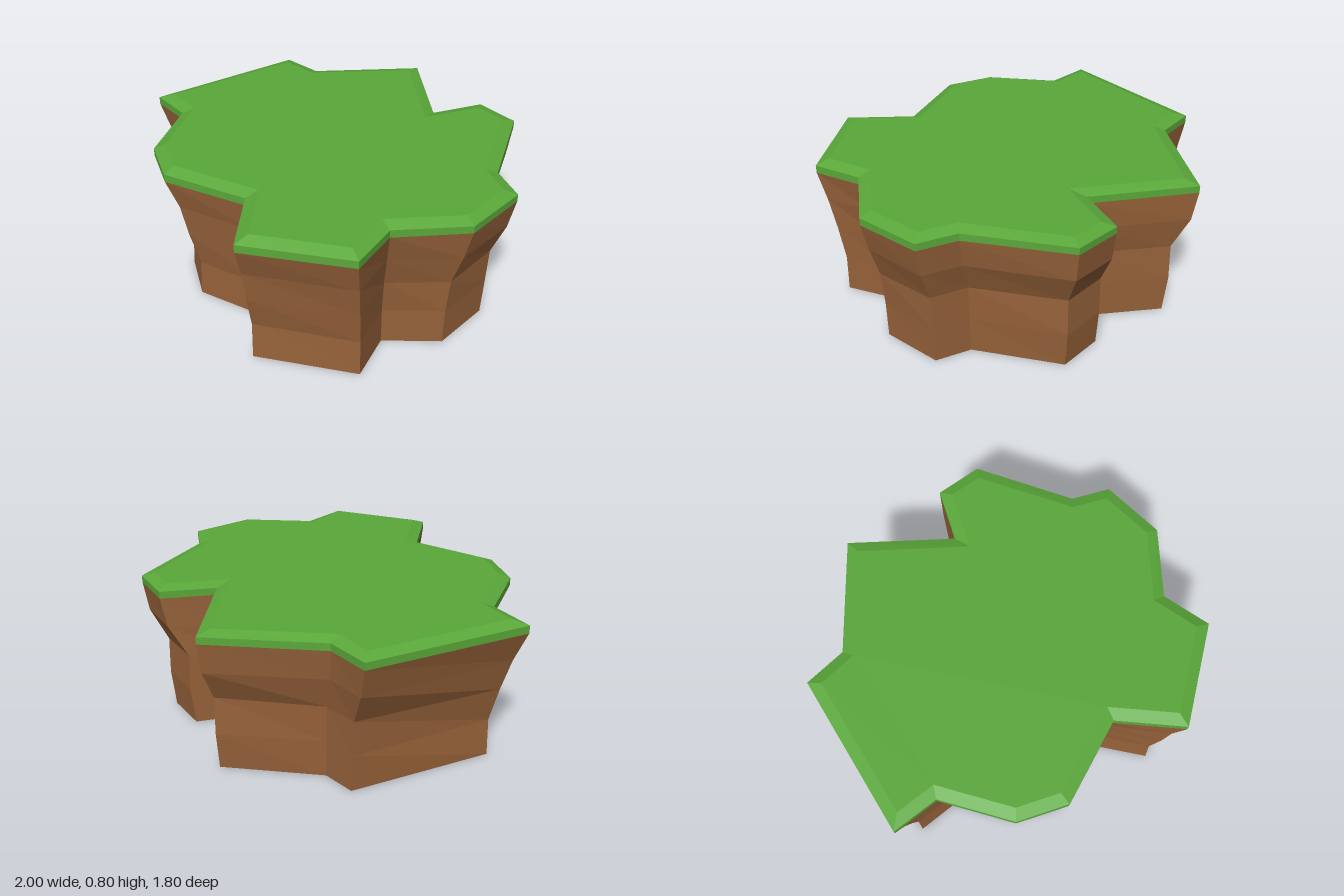
import * as THREE from 'three';

// Plateau outline, clockwise from above: rim x, rim z, foot x, foot z
const OUTLINE = [
  [-0.42, -0.90, -0.35, -0.80], [0.07, -0.61, 0.06, -0.54],
  [0.15, -0.89, 0.11, -0.76], [0.40, -0.905, 0.35, -0.79],
  [0.73, -0.465, 0.635, -0.40], [0.93, -0.405, 0.82, -0.35],
  [1.00, -0.06, 0.885, -0.03], [0.80, 0.27, 0.70, 0.22],
  [0.90, 0.52, 0.83, 0.45], [0.48, 0.90, 0.42, 0.81],
  [0.19, 0.67, 0.21, 0.60], [-0.23, 0.89, -0.17, 0.78],
  [-0.49, 0.82, -0.43, 0.69], [-0.75, 0.52, -0.65, 0.44],
  [-1.00, 0.54, -0.87, 0.46], [-0.98, -0.335, -0.83, -0.31],
  [-0.75, -0.38, -0.66, -0.36],
];
const N = OUTLINE.length;

// One ring of the cliff; blend 0 = foot, 1 = rim, with separate back and front values
function ring(y, back, front, tilt = 0) {
  return OUTLINE.map(([rx, rz, fx, fz]) => {
    const t = THREE.MathUtils.lerp(back, front, (rz + 0.9) / 1.8);
    return new THREE.Vector3(
      THREE.MathUtils.lerp(fx, rx, t), y - tilt * rz, THREE.MathUtils.lerp(fz, rz, t));
  });
}

// Shrink a ring by moving every edge inward by the same distance
function inset(points, distance, y, tilt) {
  const normal = (a, b) => new THREE.Vector2(a.z - b.z, b.x - a.x).normalize();
  return points.map((p, i) => {
    const n1 = normal(points[(i + N - 1) % N], p);
    const n2 = normal(p, points[(i + 1) % N]);
    const m = distance / Math.max(0.6, 1 + n1.dot(n2));
    return new THREE.Vector3(p.x + (n1.x + n2.x) * m, y - tilt * p.z, p.z + (n1.y + n2.y) * m);
  });
}

// Join rings from bottom to top with flat facets, with optional end caps
function loft(rings, capBottom, capTop) {
  const pos = [];
  const tri = (a, b, c) => [a, b, c].forEach((v) => pos.push(v.x, v.y, v.z));
  for (let r = 0; r < rings.length - 1; r++) {
    const lo = rings[r], up = rings[r + 1];
    for (let i = 0; i < N; i++) {
      const j = (i + 1) % N;
      tri(lo[i], up[i], up[j]);
      tri(lo[i], up[j], lo[j]);
    }
  }
  const cap = (pts, faceUp) => {
    const flat = pts.map((p) => new THREE.Vector2(p.x, p.z));
    for (const f of THREE.ShapeUtils.triangulateShape(flat, [])) {
      const isUp = THREE.ShapeUtils.area(f.map((k) => flat[k])) < 0;
      const [a, b, c] = f.map((k) => pts[k]);
      if (isUp === faceUp) tri(a, b, c);
      else tri(a, c, b);
    }
  };
  if (capBottom) cap(rings[0], false);
  if (capTop) cap(rings[rings.length - 1], true);
  const geometry = new THREE.BufferGeometry();
  geometry.setAttribute('position', new THREE.Float32BufferAttribute(pos, 3));
  geometry.computeVertexNormals();
  return geometry;
}

function part(name, geometry, color) {
  const mesh = new THREE.Mesh(geometry, new THREE.MeshStandardMaterial({ color, flatShading: true }));
  mesh.name = name;
  return mesh;
}

export function createModel() {
  const group = new THREE.Group();
  group.name = 'grassyPlateau';

  // Earth cliff: upright lower half, flaring out to the rim
  const rim = ring(0.735, 1, 1, 0.011);
  group.add(part('earthCliff', loft([
    ring(0, 0, 0),
    ring(0.205, 0.15, -0.1),
    ring(0.4, 0.1, 0.28, 0.01),
    ring(0.575, 0.8, 0.52, 0.01),
    rim,
  ], true, false), 0x96623a));

  // Grass slab: short wall, bevel and nearly flat top
  const edge = ring(0.775, 1, 1, 0.008);
  group.add(part('grassTop', loft([rim, edge, inset(edge, 0.06, 0.797, 0.003)], false, true), 0x5aa83a));

  return group;
}
